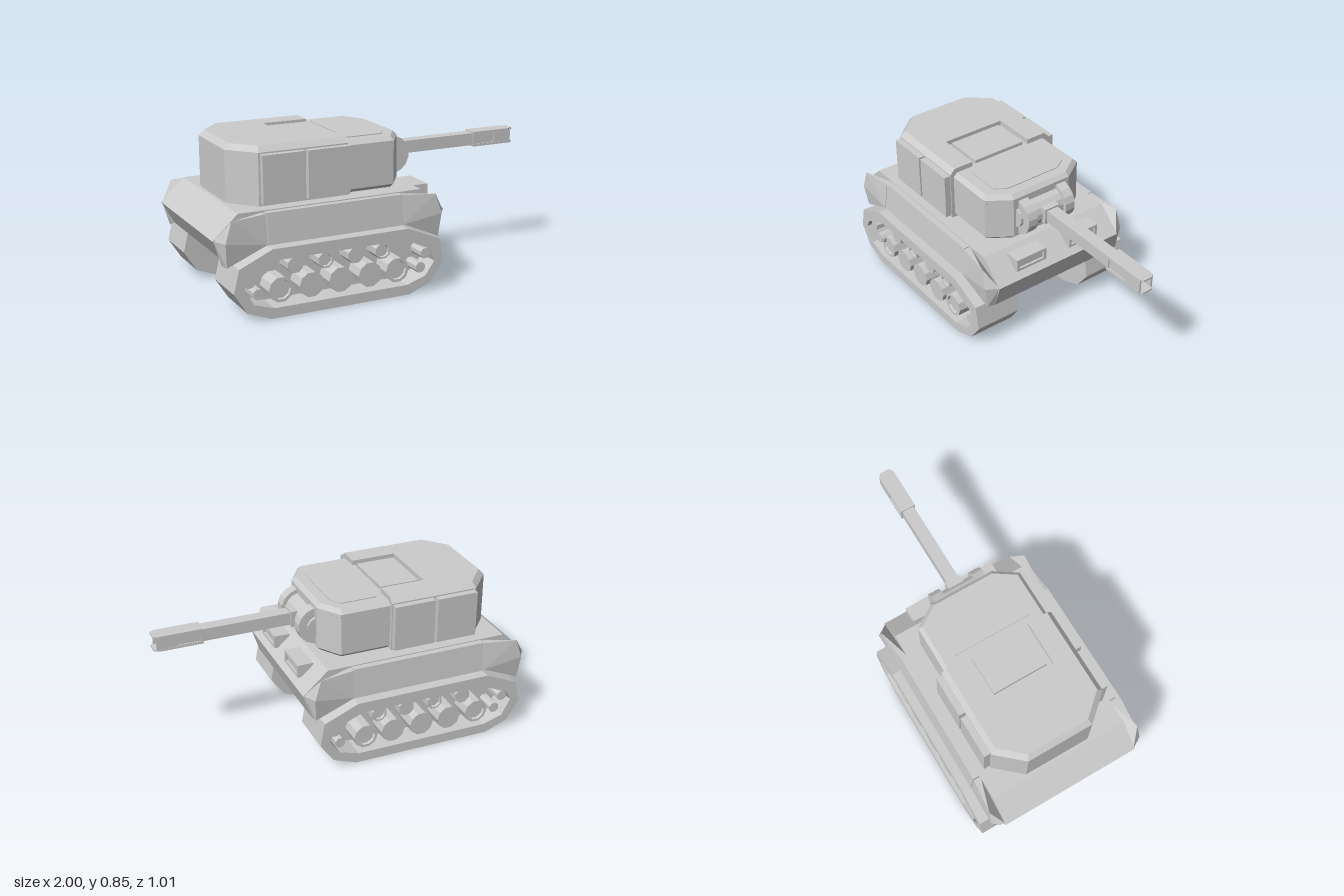
import * as THREE from 'three';
import { ConvexGeometry } from 'three/addons/geometries/ConvexGeometry.js';

const mat = new THREE.MeshStandardMaterial({ color: 0xcccccc, flatShading: true });

function add(parent, name, geo, x = 0, y = 0, z = 0) {
  const m = new THREE.Mesh(geo, mat);
  m.name = name;
  m.position.set(x, y, z);
  parent.add(m);
  return m;
}
const vec2 = pts => pts.map(p => new THREE.Vector2(p[0], p[1]));
const hullOf = pts => new ConvexGeometry(pts.map(p => new THREE.Vector3(...p)));
const rect = (x0, x1, y0, y1) => [[x0, y0], [x1, y0], [x1, y1], [x0, y1]];

// Side outline (counter-clockwise) in x, y pushed from z0 to z1, with an optional hole
function sidePrism(pts, z0, z1, hole) {
  const s = new THREE.Shape(vec2(pts));
  if (hole) s.holes.push(new THREE.Path(vec2(hole)));
  return new THREE.ExtrudeGeometry(s, { depth: z1 - z0, bevelEnabled: false }).translate(0, 0, z0);
}
// Half a plan outline in x, z, mirrored over z = 0 and raised from y0 to y1
function planPrism(half, y0, y1, bevel = 0) {
  const all = half.concat(half.slice().reverse().map(p => [p[0], -p[1]]));
  return new THREE.ExtrudeGeometry(new THREE.Shape(vec2(all)), {
    depth: y1 - y0 - 2 * bevel, bevelEnabled: bevel > 0, bevelSize: bevel, bevelThickness: bevel, bevelSegments: 1,
  }).rotateX(-Math.PI / 2).translate(0, y0 + bevel, 0);
}
const box = (w, h, d) => new THREE.BoxGeometry(w, h, d);
const rod = (r, len, sides) =>
  new THREE.CylinderGeometry(r, r, len, sides).rotateY(Math.PI / sides).rotateX(Math.PI / 2);
// Wheel with a raised rim around a sunken hub
function rimWheel(r, len, sides) {
  const h = len / 2;
  const p = [[0, -h], [r, -h], [r, h], [r * 0.78, h], [r * 0.74, h - 0.015], [0, h - 0.015]];
  return new THREE.LatheGeometry(vec2(p), sides).rotateY(Math.PI / sides).rotateX(Math.PI / 2);
}

function makeTrack() {
  const g = new THREE.Group();
  const outer = [[-0.86, 0.05], [-0.73, 0], [0.06, 0], [0.19, 0.05], [0.265, 0.155],
    [0.24, 0.285], [0.05, 0.365], [-0.72, 0.365], [-0.9, 0.285], [-0.93, 0.16]];
  const inner = [[-0.825, 0.09], [-0.715, 0.055], [0.045, 0.055], [0.155, 0.09], [0.21, 0.165],
    [0.185, 0.235], [0.03, 0.305], [-0.69, 0.305], [-0.845, 0.235], [-0.875, 0.18]];
  add(g, 'trackBelt', sidePrism(outer, 0.24, 0.507, inner));
  add(g, 'trackBackPlate', sidePrism(inner, 0.24, 0.37));
  [-0.67, -0.5, -0.335, -0.165, -0.005].forEach((x, i) =>
    add(g, 'roadWheel', i % 4 ? rod(0.068, 0.13, 10) : rimWheel(0.068, 0.13, 10), x, 0.14, 0.425));
  [-0.585, -0.415, -0.245, -0.085].forEach((x, i) =>
    add(g, 'returnRoller', i % 2 ? rimWheel(0.045, 0.12, 8) : rod(0.045, 0.12, 8), x, 0.255, 0.42));
  for (const [x, y] of [[-0.835, 0.197], [-0.79, 0.13], [0.17, 0.205], [0.14, 0.13]])
    add(g, 'endRoller', rod(0.03, 0.12, 8), x, y, 0.42);
  return g;
}

// Flared corner fender, its outer lip higher than its inner edge; fx maps it to the front or back
const corner = fx => hullOf([[0.315, 0.415, 0.4], [0.275, 0.28, 0.4], [0.05, 0.53, 0.4],
  [0.05, 0.375, 0.4], [0.05, 0.53, 0.44], [0.05, 0.375, 0.458], [0.275, 0.41, 0.465],
  [0.265, 0.28, 0.447], [0.24, 0.52, 0.458]].map(p => [fx(p[0]), p[1], p[2]]));

export function createModel() {
  const model = new THREE.Group();
  model.name = 'tank';

  // Hull
  const hull = new THREE.Group();
  hull.name = 'hull';
  model.add(hull);
  add(hull, 'upperHull', sidePrism([[-0.86, 0.54], [-0.995, 0.415], [-0.92, 0.285], [-0.72, 0.372],
    [0.05, 0.372], [0.275, 0.28], [0.32, 0.415], [0.18, 0.54]], -0.405, 0.405));
  add(hull, 'belly', sidePrism([[-0.85, 0.4], [-0.92, 0.285], [-0.9, 0.285], [-0.7, 0.07],
    [0.02, 0.07], [0.22, 0.28], [0.275, 0.28], [0.2, 0.4]], -0.24, 0.24));

  // Sides: tracks, sloped side plates and corners
  for (const s of [1, -1]) {
    const track = makeTrack();
    track.name = s > 0 ? 'leftTrack' : 'rightTrack';
    track.scale.z = s;
    model.add(track);
    const plate = [];
    for (const x of [-0.72, 0.05])
      for (const [y, z] of [[0.372, 0.39], [0.535, 0.39], [0.535, 0.44], [0.372, 0.458]])
        plate.push([x, y, z * s]);
    add(hull, 'sidePlate', hullOf(plate));
    add(hull, 'frontCorner', corner(x => x)).scale.z = s;
    add(hull, 'rearCorner', corner(x => -0.675 - x)).scale.z = s;

    // Vision boxes on the sloped front plate
    const frame = sidePrism(rect(-0.097, 0.097, -0.036, 0.036), 0, 0.09, rect(-0.08, 0.08, -0.022, 0.022));
    add(hull, 'visionBoxFrame', frame.rotateY(Math.PI / 2), 0.208, 0.489, 0.176 * s);
    add(hull, 'visionBoxGlass', box(0.07, 0.05, 0.17), 0.25, 0.489, 0.176 * s);
  }

  // Turret
  const turret = new THREE.Group();
  turret.name = 'turret';
  model.add(turret);
  add(turret, 'rearTurret', planPrism([[-0.84, 0.19], [-0.715, 0.332], [-0.215, 0.332]], 0.54, 0.817));
  add(turret, 'frontTurret', planPrism([[-0.25, 0.312], [0.065, 0.312], [0.152, 0.185]], 0.568, 0.797));
  add(turret, 'frontUnderside', planPrism([[-0.22, 0.29], [0.055, 0.29], [0.13, 0.178]], 0.54, 0.59, 0.02));
  add(turret, 'frontRoof', planPrism([[-0.235, 0.29], [0.055, 0.29], [0.13, 0.178]], 0.755, 0.819, 0.022));
  add(turret, 'frontHatch', planPrism([[-0.17, 0.23], [0.035, 0.23], [0.075, 0.165]], 0.8, 0.824));
  add(turret, 'roofHatch', box(0.225, 0.04, 0.32), -0.34, 0.818, 0);

  // Rear roof with bevelled rim, open in front around the roof hatch
  const rim = [];
  for (const s of [1, -1]) {
    rim.push([-0.84, 0.817, 0.19 * s], [-0.715, 0.817, 0.332 * s], [-0.47, 0.817, 0.332 * s],
      [-0.812, 0.847, 0.178 * s], [-0.702, 0.847, 0.304 * s], [-0.47, 0.847, 0.304 * s]);
    const side = [];
    for (const x of [-0.47, -0.215])
      side.push([x, 0.817, 0.187 * s], [x, 0.847, 0.187 * s], [x, 0.847, 0.304 * s], [x, 0.817, 0.332 * s]);
    add(turret, 'sideRoof', hullOf(side));
    for (const x of [-0.588, -0.338])
      add(turret, 'sidePanel', box(0.235, 0.255, 0.06), x, 0.682, 0.338 * s);
  }
  add(turret, 'rearRoof', hullOf(rim));

  // Gun mount
  const gun = new THREE.Group();
  gun.name = 'gun';
  gun.position.set(0.14, 0.68, 0);
  model.add(gun);
  add(gun, 'mantletDrum', rod(0.083, 0.2, 16), 0, -0.005, 0);
  add(gun, 'mantletAxle', rod(0.057, 0.34, 12), 0, -0.005, 0);
  for (const s of [1, -1]) add(gun, 'mantletCheek', rod(0.105, 0.06, 16), 0, -0.004, 0.125 * s);
  add(gun, 'barrelSocket', box(0.12, 0.09, 0.094), 0.045, 0, 0);
  add(gun, 'barrel', box(0.53, 0.07, 0.07), 0.34, 0, 0);

  // Square muzzle: hollow mouth, side windows and corners cut in plan
  add(gun, 'muzzleCore', box(0.17, 0.08, 0.07), 0.68, 0, 0);
  for (const s of [1, -1]) {
    add(gun, 'muzzlePlate', planPrism([[0.593, 0.044], [0.83, 0.044], [0.86, 0.03]], -0.005, 0.005), 0, 0.038 * s, 0);
    add(gun, 'muzzleSide', sidePrism(rect(0.593, 0.845, -0.04, 0.04), -0.005, 0.005,
      rect(0.61, 0.735, -0.028, 0.028)), 0, 0, 0.037 * s);
  }
  return model;
}
